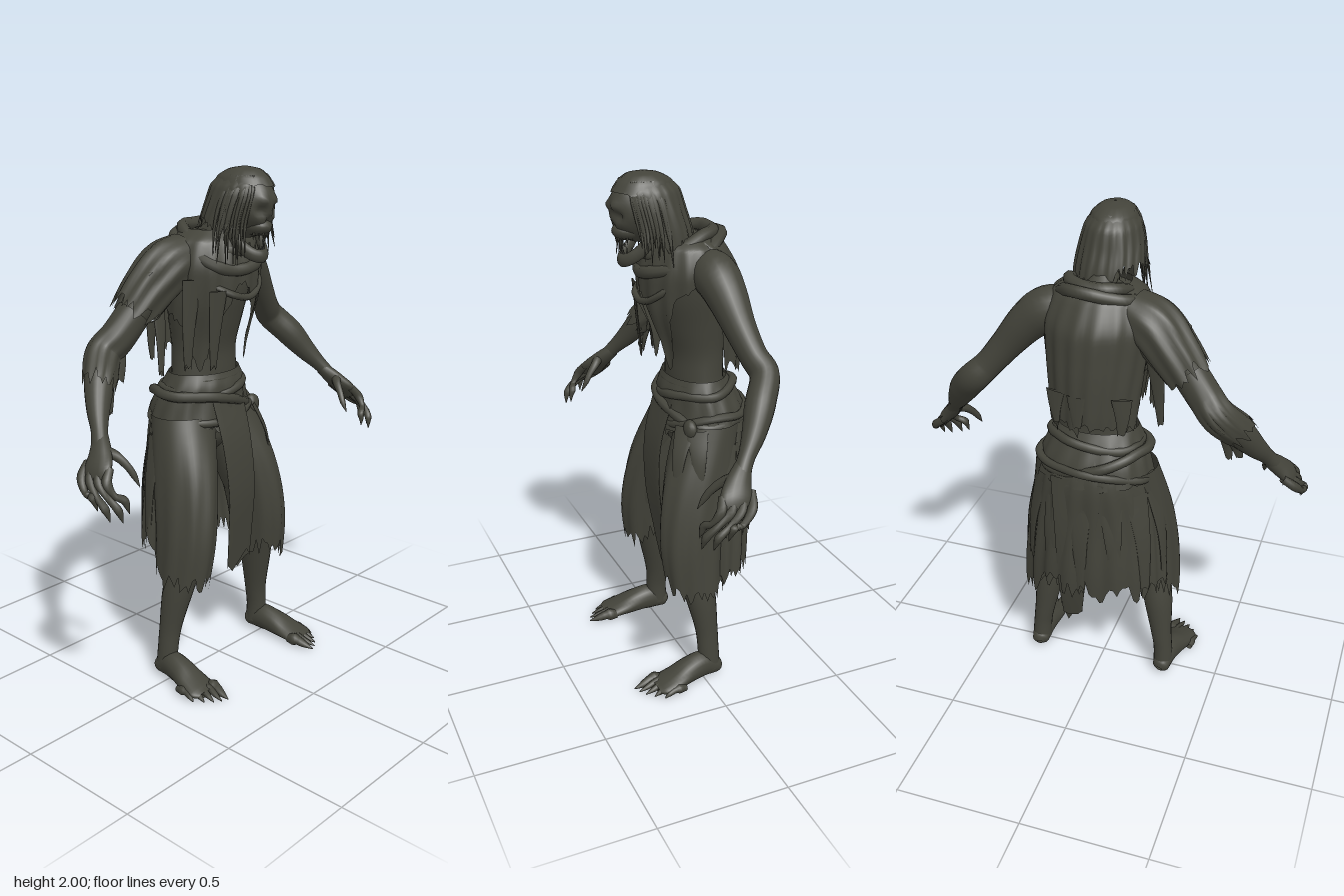
import * as THREE from 'three';

const V3 = (x, y, z) => new THREE.Vector3(x, y, z);

export function createModel() {
  const model = new THREE.Group();
  model.name = 'raggedGhoul';
  const mat = new THREE.MeshStandardMaterial({ color: 0x43433a, side: THREE.DoubleSide });
  mat.name = 'rottenGrey';
  let seed = 7;
  const rand = () => (seed = (seed * 16807) % 2147483647) / 2147483647;

  const add = (name, geo, parent = model) => {
    const m = new THREE.Mesh(geo, mat);
    m.name = name;
    parent.add(m);
    return m;
  };

  // Sweeps an elliptical ring along [x, y, z, a, b] sections.
  // flat: rings stay horizontal; otherwise width a follows ref. jag tears the hem, fold ripples it,
  // len(angle) shortens the sheet. Angle 0 faces the front, +90 degrees the model's left.
  function sweep(name, pts, o = {}) {
    const { n = 16, rows = pts.length * 4, flat = false, ref = V3(0, 0, 1), a0 = 0, a1 = Math.PI * 2,
      jag = 0, fold = 0, folds = 14, len = () => 1, parent = model } = o;
    const path = new THREE.CatmullRomCurve3(pts.map(p => V3(p[0], p[1], p[2])));
    const size = new THREE.CatmullRomCurve3(pts.map(p => V3(p[3], p[4], 0)));
    const closed = a1 - a0 > 6.28, cols = closed ? n : n + 1;
    const pos = [], idx = [], lens = [];
    let drift = 0.5;
    for (let j = 0; j < cols; j++) {
      drift = THREE.MathUtils.clamp(drift + (rand() - 0.5) * 0.5, 0, 1);
      const a = a0 + (a1 - a0) * j / n;
      lens.push(len(a) * (1 - jag * (0.55 * drift + 0.45 * rand())));
    }
    for (let i = 0; i <= rows; i++) {
      for (let j = 0; j < cols; j++) {
        const a = a0 + (a1 - a0) * j / n, t = lens[j] * i / rows;
        const p = path.getPoint(t), r = size.getPoint(t);
        let U = V3(1, 0, 0), W = V3(0, 0, 1);
        if (!flat) {
          const T = path.getTangent(t);
          U = ref.clone().addScaledVector(T, -ref.dot(T)).normalize();
          W = T.clone().cross(U);
        }
        const k = 1 + fold * Math.min(1, t * 2) * (Math.sin(a * folds + 3 * t) + 0.5 * Math.sin(a * Math.round(folds * 0.37) + 1));
        p.addScaledVector(U, r.x * k * Math.sin(a)).addScaledVector(W, r.y * k * Math.cos(a));
        pos.push(p.x, p.y, p.z);
      }
    }
    for (let i = 0; i < rows; i++) for (let j = 0; j < n; j++) {
      const q = (j + 1) % cols, A = i * cols + j, B = i * cols + q, C = A + cols, D = B + cols;
      idx.push(A, C, B, B, C, D);
    }
    const g = new THREE.BufferGeometry();
    g.setAttribute('position', new THREE.Float32BufferAttribute(pos, 3));
    g.setIndex(idx);
    g.computeVertexNormals();
    return add(name, g, parent);
  }

  // Closed roll of cloth around the body, tilted by tx (sideways) and tz (forwards)
  function roll(name, y, z, rx, rz, r, tx, tz, ph = 0) {
    const c = Array.from({ length: 16 }, (_, i) => {
      const a = i / 16 * Math.PI * 2, w = 1 + 0.03 * Math.sin(a * 5 + ph);
      return V3(Math.sin(a) * rx * w, y + tx * Math.sin(a) + tz * Math.cos(a) + 0.008 * Math.sin(a * 3 + ph), z + Math.cos(a) * rz * w);
    });
    add(name, new THREE.TubeGeometry(new THREE.CatmullRomCurve3(c, true), 64, r, 8, true));
  }

  // Thin hanging rag that narrows towards a torn end
  const rag = (name, pts, w, ref = V3(1, 0, 0), narrow = 0.7) => sweep(name,
    pts.map((p, i) => [...p, w * (1 - narrow * i / (pts.length - 1)), 0.005]), { n: 10, ref, jag: 0.2 });

  // Torso and neck
  sweep('torso', [[0, 1.765, -.04, .06, .06], [0, 1.725, -.06, .14, .1], [0, 1.65, -.06, .195, .14], [0, 1.55, -.06, .185, .145],
    [0, 1.42, -.07, .16, .125], [0, 1.3, -.08, .145, .105], [0, 1.2, -.08, .15, .105], [0, 1.05, -.1, .18, .13],
    [0, .95, -.09, .16, .11], [0, .88, -.08, .04, .04]], { flat: true, n: 32 });
  sweep('neck', [[0, 1.7, -.06, .075, .07], [0, 1.77, .01, .055, .055], [0, 1.86, .09, .055, .055]], { ref: V3(1, 0, 0) });

  // Skull with sunken sockets, nose hollow, brow and cheekbones
  const skull = new THREE.SphereGeometry(1, 40, 32), sp = skull.attributes.position;
  for (let i = 0; i < sp.count; i++) {
    const v = V3(sp.getX(i), sp.getY(i), sp.getZ(i));
    const bump = (x, y, r) => v.z > 0 ? Math.exp(-((Math.abs(v.x) - x) ** 2 + (v.y - y) ** 2) / (r * r)) : 0;
    const push = -.22 * bump(.4, -.12, .2) - .16 * bump(0, -.45, .13) + .14 * bump(.35, .14, .16) + .1 * bump(.62, -.4, .17);
    const taper = v.y < -.2 ? 1 + .3 * (v.y + .2) : 1;
    sp.setXYZ(i, v.x * .088 * taper, 1.865 + v.y * .122, .13 + v.z * (.125 + push * .12));
  }
  skull.computeVertexNormals();
  add('skull', skull);
  const muzzle = add('upperJaw', new THREE.SphereGeometry(1, 20, 14));
  muzzle.scale.set(.05, .035, .06);
  muzzle.position.set(0, 1.79, .185);
  sweep('lowerJaw', [[-.075, 1.81, .11, .022, .012], [-.06, 1.73, .15, .024, .014], [-.03, 1.69, .195, .024, .016], [0, 1.683, .208, .026, .018],
    [.03, 1.69, .195, .024, .016], [.06, 1.73, .15, .024, .014], [.075, 1.81, .11, .022, .012]], { ref: V3(0, 1, 0), n: 10 });
  for (let i = -3; i <= 3; i++) for (const up of [1, -1]) {
    const tooth = add(up > 0 ? 'upperTooth' : 'lowerTooth', new THREE.ConeGeometry(.006, Math.abs(i) === 2 ? .04 : .025, 6));
    tooth.position.set(i * .012, up > 0 ? 1.757 : 1.712 + i * i * .0015, (up > 0 ? .228 : .21) - i * i * .003);
    if (up > 0) tooth.rotation.x = Math.PI;
  }

  // Hair: crown, long curtain sloping back to the hump and open at the face, loose strands
  sweep('hairCrown', [[0, 2, .125, .004, .004], [0, 1.99, .125, .05, .06], [0, 1.965, .12, .08, .1], [0, 1.92, .125, .1, .127]],
    { flat: true, n: 40, jag: .2, fold: .02, folds: 18 });
  sweep('hairCurtain', [[0, 1.975, .12, .068, .085], [0, 1.93, .11, .102, .122], [0, 1.86, .09, .118, .122], [0, 1.78, .065, .128, .122], [0, 1.67, .04, .13, .11]],
    { flat: true, n: 64, a0: .7, a1: Math.PI * 2 - .7, jag: .4, fold: .025, folds: 20 });
  for (let i = 0; i < 30; i++) {
    const s = i % 2 ? 1 : -1, a = s * (.6 + rand() * 1.1), x = Math.sin(a), z = Math.cos(a), y = 1.64 + rand() * .15, w = .115 + rand() * .04;
    sweep('hairStrand', [[x * .07, 1.97, .12 + z * .09, .009, .005], [x * .11, 1.89, .1 + z * .13, .009, .005],
      [x * .128, 1.8, .085 + z * .13, .007, .004], [x * w, y, .08 + z * w, .001, .001]], { n: 6, rows: 10 });
  }

  // Torn poncho: long at the back, a long rag on the right breast, a point on the left
  const hump = (a, c, w) => Math.exp(-(((a - c) / w) ** 2));
  sweep('poncho', [[0, 1.77, -.03, .11, .1], [0, 1.73, -.035, .175, .145], [0, 1.62, -.05, .205, .19], [0, 1.5, -.06, .195, .192],
    [0, 1.36, -.085, .178, .172], [0, 1.22, -.09, .17, .165]], {
    flat: true, n: 110, rows: 28, jag: .16, fold: .02, folds: 17,
    len: a => {
      const s = a > Math.PI ? a - 2 * Math.PI : a;
      return Math.cos(s) < -.25 ? 1 : Math.min(1.05, .52 + .55 * hump(s, -.85, .4) + .45 * hump(s, .5, .25) + .2 * hump(s, -1.6, .4) - .1 * hump(s, 1.5, .4));
    }
  });
  roll('collarOuter', 1.695, -.015, .155, .15, .024, 0, -.065);
  roll('collarInner', 1.735, -.015, .12, .125, .024, .01, -.045, 2);
  roll('collarLow', 1.64, -.01, .15, .155, .013, .01, -.11, 4);
  for (const [x, y, z, b] of [[-.19, 1.6, .04, 1.22], [-.13, 1.56, .115, 1.25], [-.14, 1.4, -.225, 1.24], [.02, 1.4, -.255, 1.25], [.11, 1.4, -.23, 1.27]])
    rag('chestRag', [[x, y, z], [x * 1.02, (y + b) / 2, z - (z > 0 ? .015 : 0)], [x * .98, b, z - (z > 0 ? .03 : 0)]], .04, V3(1, 0, z > 0 ? -x * 2 : x * 2));

  // Arms and clawed hands, legs and clawed feet
  for (const s of [1, -1]) {
    const side = s > 0 ? 'left' : 'right';
    const limb = new THREE.Group();
    limb.name = side + 'Limbs';
    model.add(limb);
    const part = (name, pts, o = {}) => sweep(side + name, pts.map(([x, ...r]) => [s * x, ...r]), { parent: limb, ...o });
    part('Arm', [[.1, 1.665, -.06, .07, .07], [.195, 1.64, -.075, .085, .085], [.265, 1.585, -.085, .076, .076], [.35, 1.485, -.1, .058, .06], [.42, 1.4, -.12, .05, .054],
      [.47, 1.35, -.137, .052, .058], [.535, 1.275, -.09, .054, .058], [.595, 1.185, -.035, .042, .043], [.637, 1.12, .015, .03, .029], [.665, 1.075, .045, .032, .027]], { n: 20 });
    part('Palm', [[.637, 1.11, .02, .028, .027], [.677, 1.06, .06, .046, .03], [.712, 1.02, .085, .058, .026], [.732, .985, .1, .048, .016], [.737, .975, .105, .004, .004]]);
    const tips = [[.68, .88, .205], [.72, .86, .215], [.752, .865, .185], [.762, .895, .135]];
    tips.forEach(([tx, ty, tz], i) => {
      const z = .15 - i * .036, kx = .72 + i * .006;
      part('Finger', [[.7, 1.03, z - .02, .016, .016], [kx + .01, .99, z, .018, .018], [(kx + tx) / 2 + .022, .95, (z + tz) / 2, .012, .012],
        [tx + .012, ty + .05, tz - .012, .015, .015], [tx + .006, ty + .025, tz - .004, .009, .009], [tx, ty, tz, .001, .001]], { n: 8 });
    });
    part('Thumb', [[.67, 1.075, .07, .022, .022], [.64, 1.055, .1, .018, .018], [.62, 1.02, .135, .014, .014], [.61, .99, .155, .012, .012], [.605, .95, .18, .001, .001]], { n: 8 });

    part('Leg', [[.1, 1, -.08, .1, .1], [.155, .78, -.02, .1, .11], [.195, .58, .025, .078, .085], [.212, .5, .02, .066, .072], [.238, .36, -.005, .06, .063],
      [.262, .2, -.025, .043, .045], [.273, .12, -.028, .039, .043], [.277, .04, -.032, .04, .044]], { flat: true, n: 20 });
    part('Foot', [[.273, .03, -.08, .012, .012], [.275, .035, -.067, .034, .031], [.28, .058, 0, .044, .056], [.287, .052, .06, .052, .05],
      [.297, .035, .13, .064, .034], [.303, .023, .19, .066, .021], [.305, .02, .215, .045, .014]], { ref: V3(1, 0, 0) });
    for (let i = 0; i < 5; i++) {
      const x = .253 + i * .026, z = .2 - i * i * .004, w = i ? .013 : .019;
      part('Toe', [[x, .022, z - .03, w, w], [x + .003, .026, z + .015, w, w], [x + .008, .018, z + .045, w * .85, w * .8], [x + .014, .008, z + .09 - i * .006, .002, .002]],
        { n: 8, ref: V3(1, 0, 0) });
    }
    // Torn trouser leg
    part('TrouserLeg', [[.11, 1.06, -.09, .13, .12], [.175, .82, -.02, .11, .138], [.21, .6, .015, .1, .13], [.232, .36, .01, .09, .108]],
      { flat: true, n: 56, jag: .24, fold: .03, folds: 9 });
  }

  // Sleeve, wrappings and hanging tatters on the right arm
  sweep('rightSleeve', [[-.12, 1.68, -.06, .09, .082], [-.21, 1.635, -.075, .1, .102], [-.285, 1.56, -.095, .093, .096], [-.38, 1.445, -.115, .08, .08]], { n: 48, jag: .3, fold: .05, folds: 9 });
  sweep('forearmWrap', [[-.35, 1.485, -.1, .063, .066], [-.42, 1.4, -.12, .062, .066], [-.47, 1.35, -.137, .064, .066], [-.54, 1.27, -.085, .061, .065], [-.59, 1.195, -.04, .05, .052]], { n: 40, jag: .35, fold: .04, folds: 8 });
  for (const [x, y, b] of [[-.43, 1.36, 1.24], [-.49, 1.28, 1.13], [-.53, 1.24, 1.14], [-.225, 1.5, 1.22]])
    rag('sleeveRag', [[x, y, -.1], [x - .01, (y + b) / 2, -.08], [x - .02, b, -.07]], .035);
  rag('shoulderTatter', [[-.22, 1.7, -.06], [-.29, 1.66, -.06], [-.35, 1.62, -.05]], .07, V3(0, 0, 1));

  // Skirt: short in front, long and torn at the sides and back
  sweep('skirt', [[0, 1.2, -.08, .165, .125], [0, 1.05, -.11, .21, .165], [0, .85, -.085, .26, .195], [0, .6, -.085, .29, .202], [0, .38, -.085, .3, .185]], {
    flat: true, n: 130, rows: 26, jag: .25, fold: .025, folds: 19,
    len: a => Math.cos(a) > .75 ? .34 : Math.cos(a) > .4 ? .62 : 1
  });
  rag('frontPanel', [[-.005, 1.12, .05], [0, .95, .095], [.02, .75, .105], [.04, .55, .08], [.06, .36, .05]], .09, V3(1, 0, 0), .25);
  rag('backPanel', [[.02, 1.05, -.265], [.03, .8, -.275], [.05, .55, -.26], [.065, .29, -.21]], .11);
  for (let i = 0; i < 9; i++) {
    const a = 1.2 + i * .48, x = Math.sin(a), z = Math.cos(a), b = .42 + rand() * .2;
    rag('skirtRag', [[x * .235, .98, -.09 + z * .175], [x * .278, .78, -.085 + z * .198], [x * .295, b, -.085 + z * .19]], .05, V3(z * 1.4, 0, -x));
  }

  // Waist sash, knot and its ends
  sweep('waistband', [[0, 1.22, -.08, .16, .115], [0, 1.17, -.085, .182, .14], [0, 1.1, -.1, .208, .16], [0, 1.01, -.105, .232, .178]], { flat: true, n: 60, jag: .12, fold: .02 });
  roll('sashUpper', 1.16, -.085, .176, .136, .018, .012, -.015);
  roll('sashMiddle', 1.1, -.1, .205, .158, .02, -.05, .01, 2);
  roll('sashLower', 1.06, -.105, .215, .166, .016, .025, -.02, 4);
  const knot = add('sashKnot', new THREE.SphereGeometry(.036, 14, 10));
  knot.position.set(.18, 1.05, .015);
  knot.scale.set(1, 1.1, .7);
  rag('sashEnd', [[.17, 1.06, .03], [.2, .95, .07], [.215, .84, .085]], .045, V3(1, 0, -.8));
  rag('sashEnd', [[.21, 1.05, 0], [.25, .94, .01], [.265, .8, .02]], .045, V3(1, 0, -1.5));

  return model;
}
